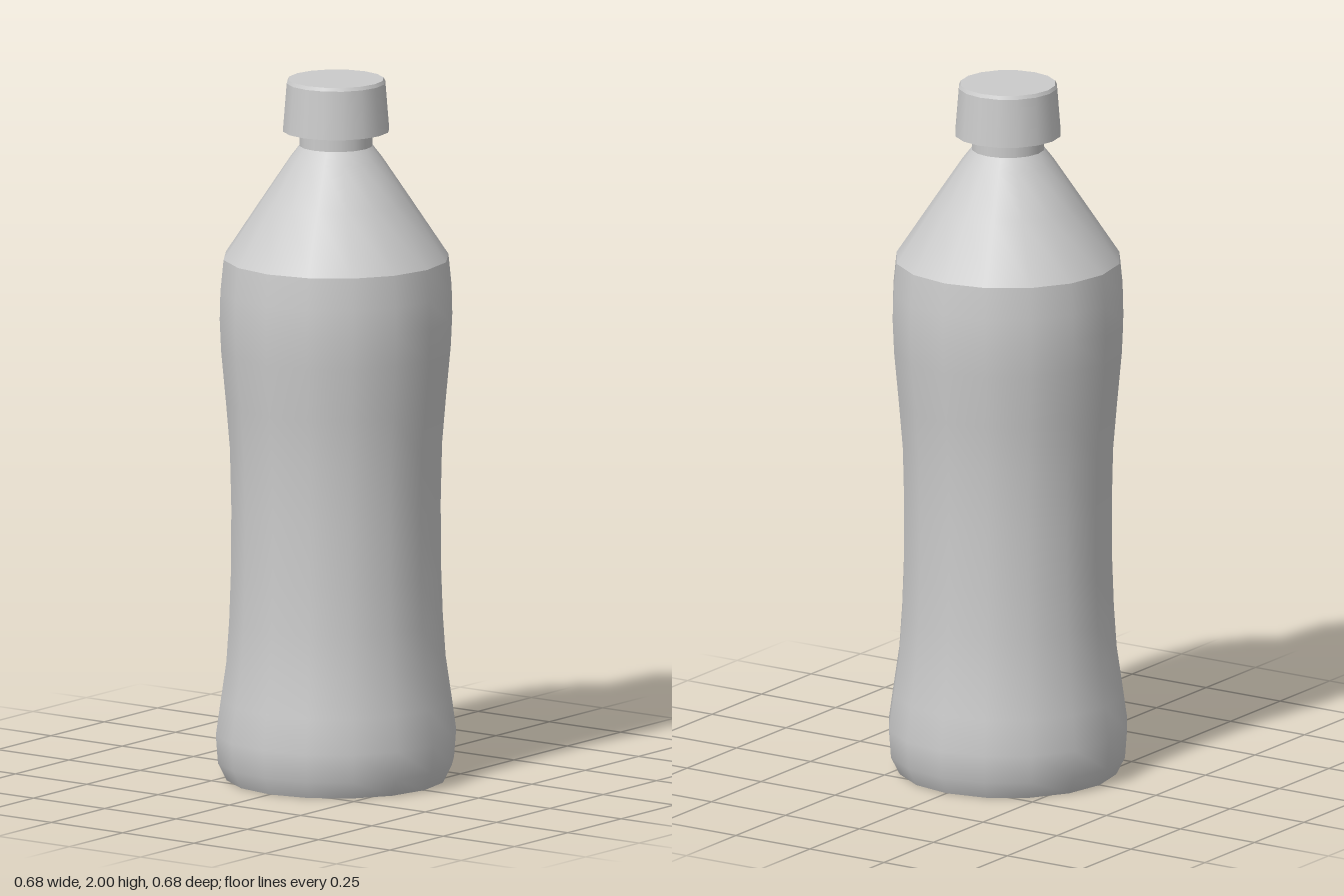
import * as THREE from 'three';

const SIDES = 16;

// One smooth turned section per profile; separate profiles keep the edges between them sharp.
function turned(name, profiles) {
  const part = new THREE.Group();
  part.name = name;
  const material = new THREE.MeshStandardMaterial({ color: 0xcccccc });
  for (const [section, profile] of Object.entries(profiles)) {
    const points = profile.map(([r, y]) => new THREE.Vector2(r, y));
    const mesh = new THREE.Mesh(new THREE.LatheGeometry(points, SIDES), material);
    mesh.name = section;
    part.add(mesh);
  }
  return part;
}

export function createModel() {
  const model = new THREE.Group();
  model.name = 'bottle';

  // Waisted body, conical shoulder and short neck
  model.add(turned('bottleBody', {
    base: [[0, 0.01], [0.2, 0.005], [0.31, 0]],
    wall: [
      [0.31, 0], [0.335, 0.05], [0.341, 0.13], [0.327, 0.23], [0.311, 0.34],
      [0.303, 0.46], [0.298, 0.6], [0.297, 0.78], [0.301, 0.95], [0.312, 1.08],
      [0.326, 1.23], [0.33, 1.32], [0.328, 1.4], [0.319, 1.49],
    ],
    shoulder: [[0.319, 1.49], [0.21, 1.655], [0.13, 1.775], [0.103, 1.81]],
    neck: [[0.103, 1.81], [0.103, 1.86]],
  }));

  // Tapered screw cap with a small top bevel
  model.add(turned('cap', {
    capUnderside: [[0.09, 1.853], [0.151, 1.853]],
    capSide: [[0.151, 1.853], [0.14, 1.99]],
    capBevel: [[0.14, 1.99], [0.135, 2]],
    capTop: [[0.135, 2], [0, 2]],
  }));

  return model;
}
